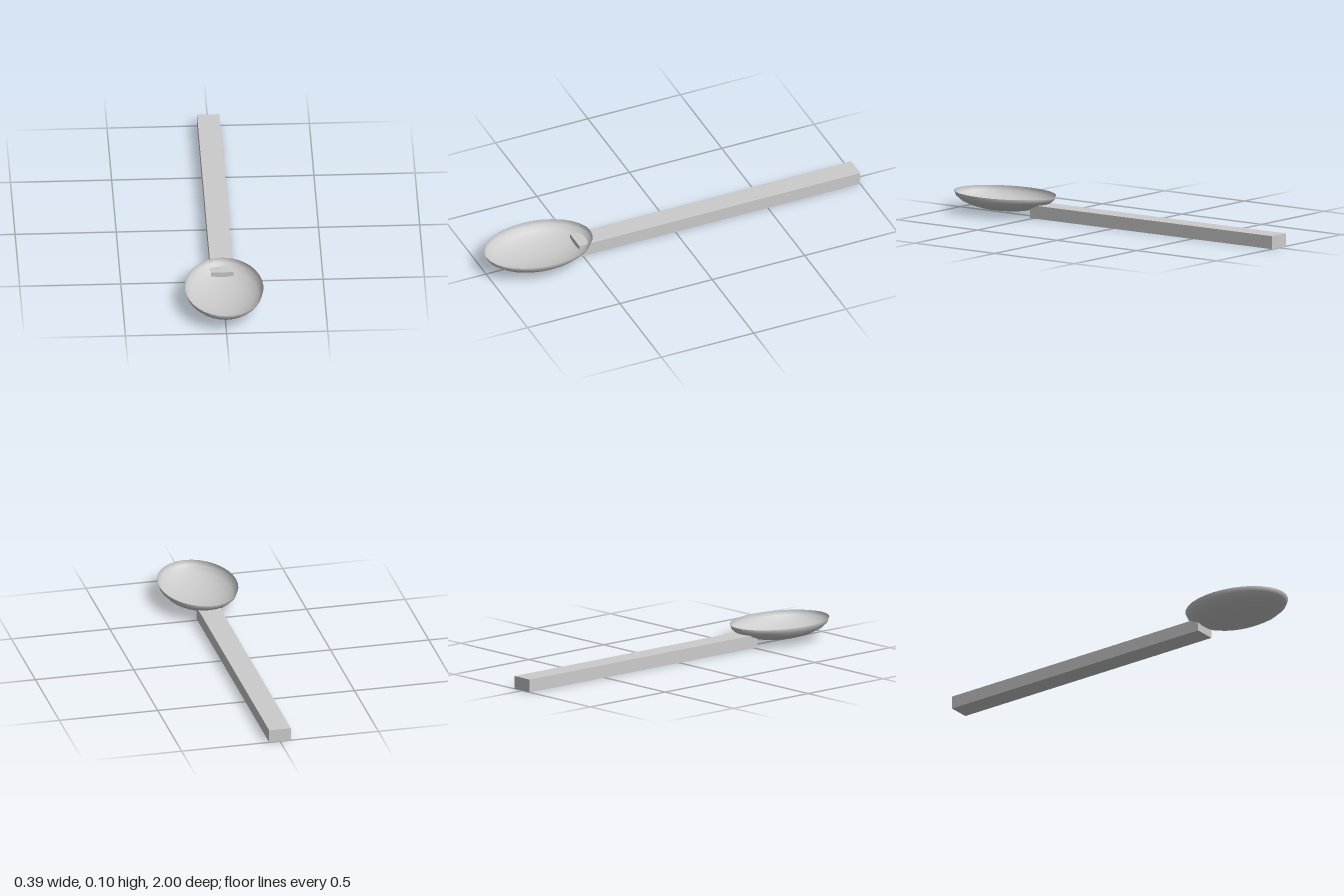
import * as THREE from 'three';

export function createModel() {
  const group = new THREE.Group();
  const material = new THREE.MeshStandardMaterial({ color: 0xcccccc, side: THREE.DoubleSide });

  // open bowl: lower half of a sphere, stretched to an oval
  const bowlGeometry = new THREE.SphereGeometry(1, 32, 6, 0, Math.PI * 2, Math.PI / 2, Math.PI / 2);
  bowlGeometry.scale(0.195, 0.087, 0.282);
  const bowl = new THREE.Mesh(bowlGeometry, material);
  bowl.name = 'bowl';
  bowl.position.set(0, 0.1, 0.718);
  group.add(bowl);

  // straight square-edged handle, its end reaching into the bowl
  const handle = new THREE.Mesh(new THREE.BoxGeometry(0.11, 0.065, 1.52), material);
  handle.name = 'handle';
  handle.position.set(0, 0.0325, -0.24);
  group.add(handle);

  return group;
}
